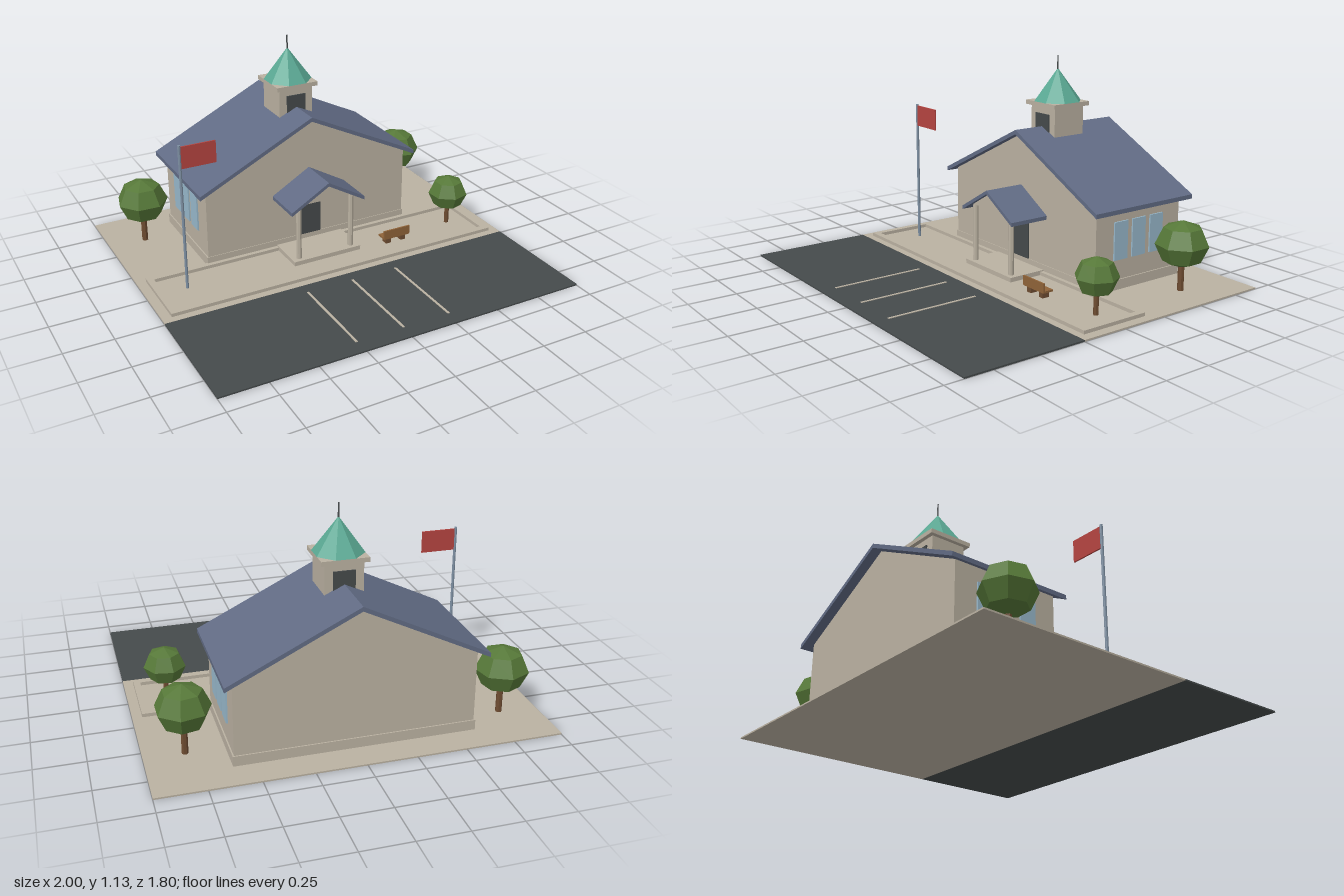
import * as THREE from 'three';

const mat = (name, color) => {
  const m = new THREE.MeshStandardMaterial({ color, flatShading: true });
  m.name = name;
  return m;
};

export function createModel() {
  const stone = mat('stone', 0xbab1a1), slate = mat('slate', 0x616b84);
  const asphalt = mat('asphalt', 0x454a4b), leaf = mat('leaf', 0x567838);
  const wood = mat('wood', 0x8f6338), bark = mat('bark', 0x6e4c31);
  const copper = mat('copper', 0x5aa893), glass = mat('glass', 0x98b8cb);
  const cloth = mat('cloth', 0xb54440), steel = mat('steel', 0x7d8fa2);

  const root = new THREE.Group();
  const group = (name) => {
    const g = new THREE.Group();
    g.name = name;
    root.add(g);
    return g;
  };
  const add = (parent, name, geo, material, x = 0, y = 0, z = 0) => {
    const m = new THREE.Mesh(geo, material);
    m.name = name;
    m.position.set(x, y, z);
    parent.add(m);
    return m;
  };
  // box given by its min and max on each axis
  const box = (parent, name, material, x0, x1, y0, y1, z0, z1) =>
    add(parent, name, new THREE.BoxGeometry(x1 - x0, y1 - y0, z1 - z0), material,
      (x0 + x1) / 2, (y0 + y1) / 2, (z0 + z1) / 2);
  const rod = (parent, name, material, r, y0, y1, x, z, sides = 8) =>
    add(parent, name, new THREE.CylinderGeometry(r, r, y1 - y0, sides), material, x, (y0 + y1) / 2, z);
  // outline in x and y, pulled from z0 to z1
  const prism = (parent, name, material, pts, z0, z1, hole) => {
    const s = new THREE.Shape(pts.map(([x, y]) => new THREE.Vector2(x, y)));
    if (hole) s.holes.push(new THREE.Path(hole.map(([x, y]) => new THREE.Vector2(x, y))));
    return add(parent, name, new THREE.ExtrudeGeometry(s, { depth: z1 - z0, bevelEnabled: false }), material, 0, 0, z0);
  };
  const gableRoof = (parent, name, w, eave, ridge, t, z0, z1) =>
    prism(parent, name, slate, [[-w, eave - t], [0, ridge - t], [w, eave - t], [w, eave], [0, ridge], [-w, eave]], z0, z1);

  // Ground and parking
  const site = group('site');
  box(site, 'pavedGround', stone, -1, 1, 0, 0.008, -0.9, 0.25);
  box(site, 'parkingLot', asphalt, -1, 1, 0, 0.008, 0.25, 0.9);
  for (const x of [-0.26, 0, 0.26]) box(site, 'parkingLine', stone, x - 0.006, x + 0.006, 0.008, 0.011, 0.32, 0.82);

  // Raised curb around the forecourt
  const rect = (x, a, b) => [[-x, a], [x, a], [x, b], [-x, b]];
  const curb = prism(site, 'curb', stone, rect(0.95, -0.21, 0.17), 0, 0.02, rect(0.915, -0.175, 0.14));
  curb.rotation.x = -Math.PI / 2;
  curb.position.y = 0.006;

  // Main hall
  const hall = group('hall');
  prism(hall, 'walls', stone, [[-0.6, 0.006], [0.6, 0.006], [0.6, 0.438], [0, 0.733], [-0.6, 0.438]], -0.74, -0.167);
  box(hall, 'plinth', stone, -0.607, 0.607, 0.006, 0.06, -0.747, -0.163);
  gableRoof(hall, 'mainRoof', 0.645, 0.441, 0.757, 0.023, -0.79, -0.125);
  box(hall, 'door', asphalt, -0.07, 0.07, 0.06, 0.262, -0.17, -0.161);
  for (const s of [-1, 1]) for (const z of [-0.33, -0.452, -0.574])
    add(hall, 'sideWindow', new THREE.BoxGeometry(0.009, 0.2, 0.09), glass, s * 0.604, 0.265, z);

  // Entrance porch
  const porch = group('porch');
  box(porch, 'porchStep', stone, -0.2, 0.2, 0.006, 0.032, -0.165, 0.055);
  for (const s of [-1, 1]) rod(porch, 'porchColumn', stone, 0.015, 0.03, 0.352, s * 0.157, 0.02);
  prism(porch, 'porchGable', stone, [[-0.15, 0.35], [0.15, 0.35], [0, 0.437]], -0.167, 0.04);
  gableRoof(porch, 'porchRoof', 0.217, 0.331, 0.457, 0.02, -0.167, 0.064);

  // Bell tower and spire
  const tower = group('tower');
  const tz = -0.41;
  box(tower, 'belfry', stone, -0.098, 0.098, 0.6, 0.866, tz - 0.098, tz + 0.098);
  for (const s of [-1, 1])
    add(tower, 'belfryOpening', new THREE.BoxGeometry(0.11, 0.11, 0.009), asphalt, 0, 0.77, tz + s * 0.1);
  box(tower, 'cornice', stone, -0.12, 0.12, 0.864, 0.887, tz - 0.12, tz + 0.12);
  add(tower, 'spire', new THREE.ConeGeometry(0.13, 0.175, 8), copper, 0, 0.9745, tz).rotation.y = Math.PI / 8;
  rod(tower, 'finial', asphalt, 0.004, 1.05, 1.13, 0, tz, 6);

  // Trees: x, z, crown height, radius, half height, turn
  for (const [x, z, y, r, h, turn] of [
    [-0.8, -0.61, 0.252, 0.138, 0.123, 0.2],
    [0.8, -0.565, 0.252, 0.138, 0.123, 0.9],
    [0.8, 0.005, 0.198, 0.11, 0.1, 0.5],
  ]) {
    const tree = group('tree');
    rod(tree, 'trunk', bark, r * 0.12, 0.006, y - h * 0.6, x, z, 7);
    const crown = add(tree, 'crown', new THREE.SphereGeometry(1, 7, 4), leaf, x, y, z);
    crown.scale.set(r, h, r);
    crown.rotation.y = turn;
  }

  // Flag
  const flag = group('flag');
  rod(flag, 'flagPole', steel, 0.008, 0.006, 0.8, -0.782, -0.012);
  box(flag, 'flagCloth', cloth, -0.775, -0.592, 0.675, 0.792, -0.016, -0.008);

  // Bench looking at the hall
  const bench = group('bench');
  box(bench, 'benchSeat', wood, 0.338, 0.5, 0.04, 0.05, 0.02, 0.08);
  box(bench, 'benchBack', wood, 0.338, 0.5, 0.045, 0.092, 0.072, 0.081);
  for (const x of [0.372, 0.466]) box(bench, 'benchLeg', bark, x - 0.015, x + 0.015, 0.006, 0.042, 0.03, 0.07);

  return root;
}
